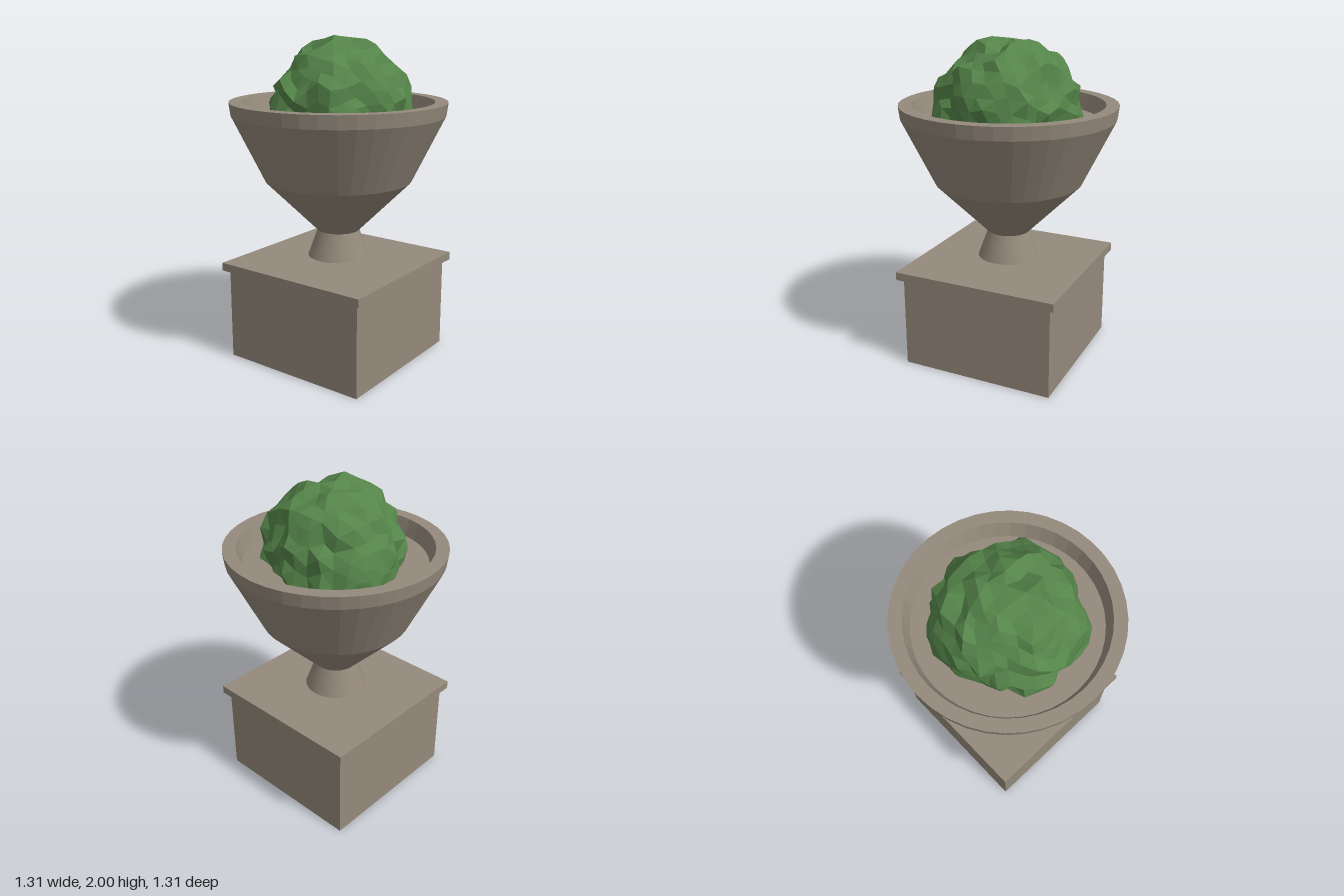
import * as THREE from 'three';
import { mergeVertices } from 'three/addons/utils/BufferGeometryUtils.js';

// Small seeded generator for the leaf jitter
function seeded(seed) {
  return () => {
    seed = (seed * 1664525 + 1013904223) % 4294967296;
    return seed / 4294967296;
  };
}

// Split all faces so each one gets its own flat normal
function faceted(geometry) {
  const flat = geometry.index ? geometry.toNonIndexed() : geometry;
  flat.computeVertexNormals();
  return flat;
}

// Leaf ball: an icosphere with a lopsided plan and jittered vertices
function foliageGeometry() {
  const plan = [0.44, 0.40, 0.44, 0.465, 0.40, 0.42, 0.40, 0.38,
    0.415, 0.44, 0.435, 0.415, 0.415, 0.39, 0.425, 0.44];
  const crown = 0.42;
  const random = seeded(11);
  let geometry = new THREE.IcosahedronGeometry(1, 5);
  geometry.deleteAttribute('normal');
  geometry.deleteAttribute('uv');
  geometry = mergeVertices(geometry, 1e-3);
  const position = geometry.attributes.position;
  const p = new THREE.Vector3();
  for (let i = 0; i < position.count; i++) {
    p.fromBufferAttribute(position, i).normalize();
    const turn = (Math.atan2(p.z, p.x) / (2 * Math.PI) + 1) * plan.length;
    const a = plan[Math.floor(turn) % plan.length];
    const b = plan[(Math.floor(turn) + 1) % plan.length];
    const side = THREE.MathUtils.lerp(a, b, turn % 1);
    const radius = THREE.MathUtils.lerp(side, crown, p.y * p.y);
    p.multiplyScalar(radius + (random() - 0.5) * 0.055);
    p.x += (random() - 0.5) * 0.03;
    p.y += (random() - 0.5) * 0.03;
    p.z += (random() - 0.5) * 0.03;
    position.setXYZ(i, p.x, Math.min(p.y, 0.44), p.z);
  }
  return faceted(geometry);
}

export function createModel() {
  const group = new THREE.Group();
  const stone = new THREE.MeshStandardMaterial({ color: 0x94897b });
  stone.name = 'stone';
  const leaves = new THREE.MeshStandardMaterial({ color: 0x55854a });
  leaves.name = 'leaf green';

  const add = (name, geometry, material, y = 0) => {
    const mesh = new THREE.Mesh(geometry, material);
    mesh.name = name;
    mesh.position.y = y;
    group.add(mesh);
  };
  const lathe = (profile) => faceted(new THREE.LatheGeometry(
    profile.map(([r, y]) => new THREE.Vector2(r, y)), 40));

  // Square plinth with an overhanging slab
  add('plinth', new THREE.BoxGeometry(0.96, 0.57, 0.96), stone, 0.285);
  add('plinthSlab', new THREE.BoxGeometry(1.026, 0.05, 1.026), stone, 0.595);

  // Flared foot, standing just clear of the slab
  const foot = new THREE.CylinderGeometry(0.13, 0.19, 0.165, 40);
  add('urnFoot', foot, stone, 0.7275);

  // Bowl with a thick rim, sloping inner wall and level fill
  add('urnBowl', lathe([
    [0, 0.81], [0.13, 0.81], [0.45, 1.13], [0.645, 1.53],
    [0.655, 1.61], [0.577, 1.61], [0.545, 1.51], [0, 1.51],
  ]), stone);

  // Clipped bush, its lower half sunk into the bowl
  add('bush', foliageGeometry(), leaves, 1.56);
  return group;
}
